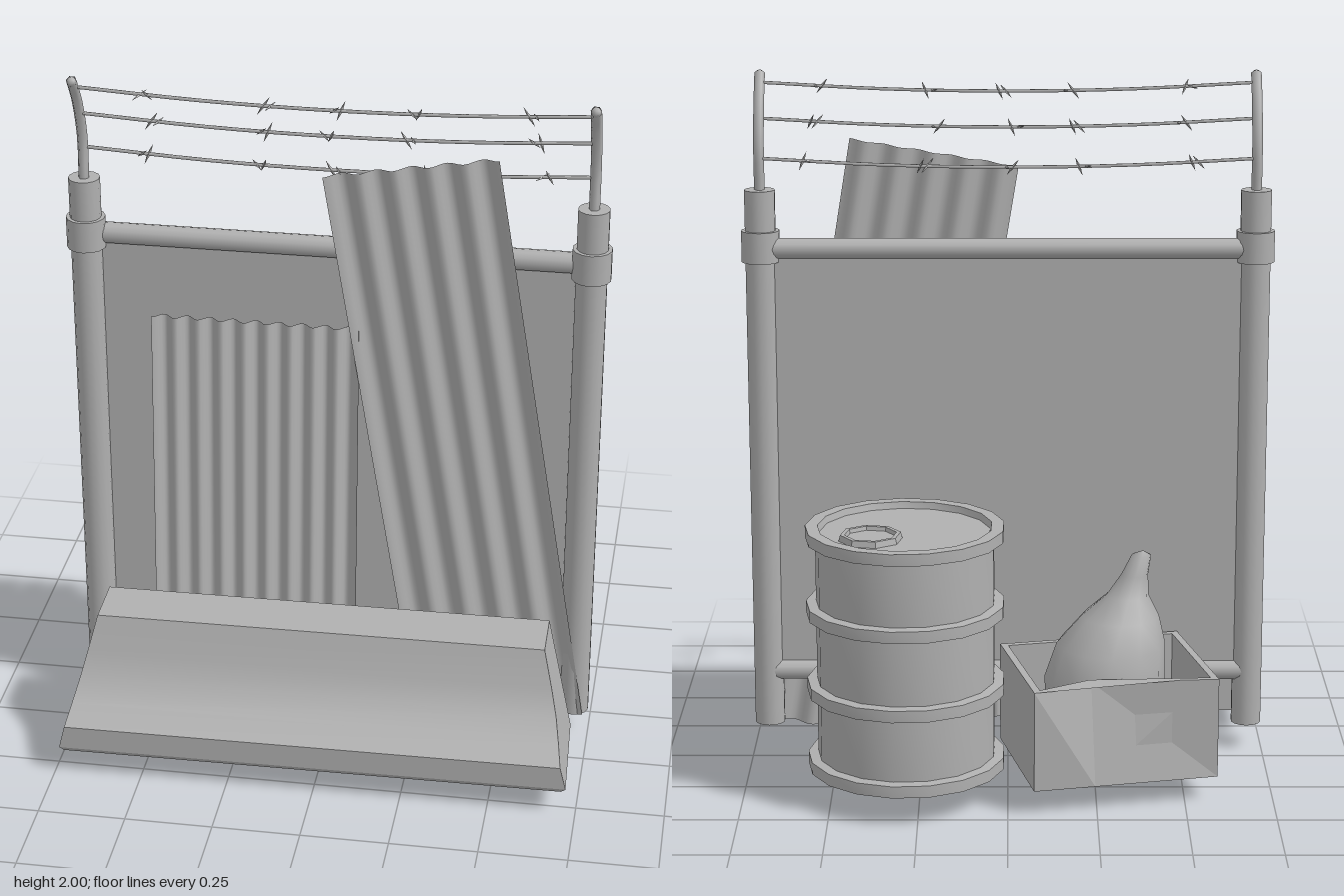
import * as THREE from 'three';
import { toCreasedNormals } from 'three/addons/utils/BufferGeometryUtils.js';

const grey = new THREE.MeshStandardMaterial({ color: 0xb0b0b0, side: THREE.DoubleSide });
grey.name = 'grey';

function add(parent, name, geometry, x = 0, y = 0, z = 0) {
  const mesh = new THREE.Mesh(geometry, grey);
  mesh.name = name;
  mesh.position.set(x, y, z);
  parent.add(mesh);
  return mesh;
}

// Moves every vertex by a rule
function bend(geometry, rule) {
  const p = geometry.attributes.position;
  const v = new THREE.Vector3();
  for (let i = 0; i < p.count; i++) {
    rule(v.fromBufferAttribute(p, i));
    p.setXYZ(i, v.x, v.y, v.z);
  }
  geometry.computeVertexNormals();
  return geometry;
}

const points2 = (list) => list.map(([x, y]) => new THREE.Vector2(x, y));
const tube = (pts, r, n) => new THREE.TubeGeometry(new THREE.CatmullRomCurve3(pts), n, r, 6);

function corrugated(width, height, ridges, depth) {
  return bend(new THREE.PlaneGeometry(width, height, ridges * 8, 1), (v) => {
    v.z = depth * Math.cos((v.x / width + 0.5) * ridges * Math.PI * 2);
  });
}

// Posts, rails, sheet panel and wire
function makeFence() {
  const fence = new THREE.Group();
  fence.name = 'fence';
  for (const s of [-1, 1]) {
    const x = s * 0.705;
    add(fence, 'post', new THREE.CylinderGeometry(0.044, 0.044, 1.595, 14), x, 0.8725, 0.095);
    add(fence, 'postCollar', new THREE.CylinderGeometry(0.055, 0.055, 0.09, 14), x, 1.508, 0.095);
    const arm = [[1.66, 0.097], [1.79, 0.095], [1.91, 0.135], [1.99, 0.188]];
    add(fence, 'wireArm', tube(arm.map(([y, z]) => new THREE.Vector3(x, y, z)), 0.015, 8));
    add(fence, 'armCap', new THREE.SphereGeometry(0.014, 8, 6), x, 1.985, 0.186);
  }
  for (const y of [1.503, 0.24]) {
    const rail = add(fence, 'rail', new THREE.CylinderGeometry(0.03, 0.03, 1.4, 12), 0, y, 0.085);
    rail.rotation.z = Math.PI / 2;
  }
  add(fence, 'panel', new THREE.BoxGeometry(1.35, 1.27, 0.012), 0, 0.87, 0.085);

  // Sagging wires with barbs
  [[1.965, 0.17], [1.87, 0.12], [1.76, 0.092]].forEach(([y, z], row) => {
    const height = (x) => y - 0.025 * (1 - (x / 0.705) ** 2);
    const pts = [-0.705, -0.35, 0, 0.35, 0.705].map((x) => new THREE.Vector3(x, height(x), z));
    add(fence, 'wire', tube(pts, 0.005, 16));
    [-0.51, -0.19, 0, 0.225, 0.555].forEach((x, i) => {
      const bx = x + 0.02 * Math.sin(row * 2.1 + i);
      for (const tilt of [0.35, -0.6]) {
        const barb = add(fence, 'barb', new THREE.OctahedronGeometry(1), bx + tilt * 0.02, height(bx), z);
        barb.scale.set(0.005, 0.03, 0.005);
        barb.rotation.set(i + row + tilt * 2, 0, tilt);
      }
    });
  });
  return fence;
}

// Concrete barrier with sloping ends
function makeBarrier(parent) {
  const profile = points2([
    [0.19, 0.07], [0.535, 0.07], [0.545, 0.085], [0.545, 0.155], [0.485, 0.2],
    [0.43, 0.25], [0.395, 0.32], [0.36, 0.424], [0.2, 0.424],
  ]);
  const g = new THREE.ExtrudeGeometry(new THREE.Shape(profile), { depth: 1, bevelEnabled: false });
  g.rotateY(-Math.PI / 2);
  bend(g, (v) => {
    const half = v.y < 0.08 ? 0.715 : 0.728 - 0.085 * (v.y - 0.085) / 0.339;
    v.x = v.x > -0.5 ? half : -half;
  });
  const barrier = add(parent, 'barrier', toCreasedNormals(g, 0.5), -0.012);
  barrier.rotation.y = 0.01;
}

// Ribbed drum with recessed lid and bung
function makeDrum() {
  const drum = new THREE.Group();
  drum.name = 'drum';
  drum.position.set(0.287, 0, -0.277);
  const outline = [[0, 0.085], [0.28, 0.085]];
  const rings = [0.102, 0.322, 0.55, 0.77];
  rings.forEach((y, i) => {
    if (i) outline.push([0.28, y - 0.017]);
    outline.push([0.28, y + 0.017]);
    if (i < 3) outline.push([0.252, y + 0.02], [0.252, rings[i + 1] - 0.02]);
  });
  outline.push([0.245, 0.787], [0.24, 0.768], [0, 0.768]);
  add(drum, 'drumBody', toCreasedNormals(new THREE.LatheGeometry(points2(outline), 17, 0.07), 0.6));
  const bung = points2([[0.09, 0.766], [0.085, 0.785], [0.073, 0.785], [0.07, 0.774], [0, 0.774]]);
  add(drum, 'bung', toCreasedNormals(new THREE.LatheGeometry(bung, 8, 0.2), 0.5), 0.093, 0, -0.07);
  return drum;
}

// Open dented box holding a tied sack
function makeBox() {
  const box = new THREE.Group();
  box.name = 'boxWithSack';
  box.position.set(-0.285, 0.07, -0.195);
  box.rotation.y = 0.222;
  const outline = (w, d) => points2([[-w, -d], [w, -d], [w, d], [0.09, d], [-w, d]]);
  const shape = new THREE.Shape(outline(0.266, 0.218));
  shape.holes.push(new THREE.Path(outline(0.246, 0.198).reverse()));
  const walls = new THREE.ExtrudeGeometry(shape, { depth: 0.29, bevelEnabled: false });
  walls.rotateX(-Math.PI / 2);
  bend(walls, (v) => {
    if (v.y > 0.1 && Math.abs(v.x - 0.09) < 0.001) v.z += 0.055;
  });
  add(box, 'boxWalls', toCreasedNormals(walls, 0.1));
  add(box, 'boxFloor', new THREE.BoxGeometry(0.52, 0.02, 0.425), 0, 0.011, 0);
  return box;
}

function makeSack(parent) {
  const outline = points2([
    [0, 0.09], [0.12, 0.1], [0.165, 0.2], [0.173, 0.31], [0.155, 0.41], [0.11, 0.49],
    [0.06, 0.55], [0.038, 0.61], [0.028, 0.665], [0, 0.678],
  ]);
  // The neck leans to one side
  const g = bend(new THREE.LatheGeometry(outline, 12), (v) => {
    const t = Math.max(0, (v.y - 0.36) / 0.315);
    v.x -= 0.105 * t;
    v.z += 0.025 * t;
  });
  add(parent, 'sack', g, -0.277, 0, -0.18);
}

export function createModel() {
  const model = new THREE.Group();
  model.name = 'barricade';
  model.add(makeFence());
  makeBarrier(model);

  // Corrugated sheets leaning on the panel
  const small = add(model, 'smallCorrugatedSheet', corrugated(0.59, 1.215, 9, 0.014), -0.225, 0.665, 0.152);
  small.rotation.x = -0.058;
  const tall = add(model, 'tallCorrugatedSheet', corrugated(0.487, 1.755, 5, 0.013), 0.352, 0.905, 0.128);
  tall.rotation.z = 0.163;

  model.add(makeDrum(), makeBox());
  makeSack(model);
  return model;
}
